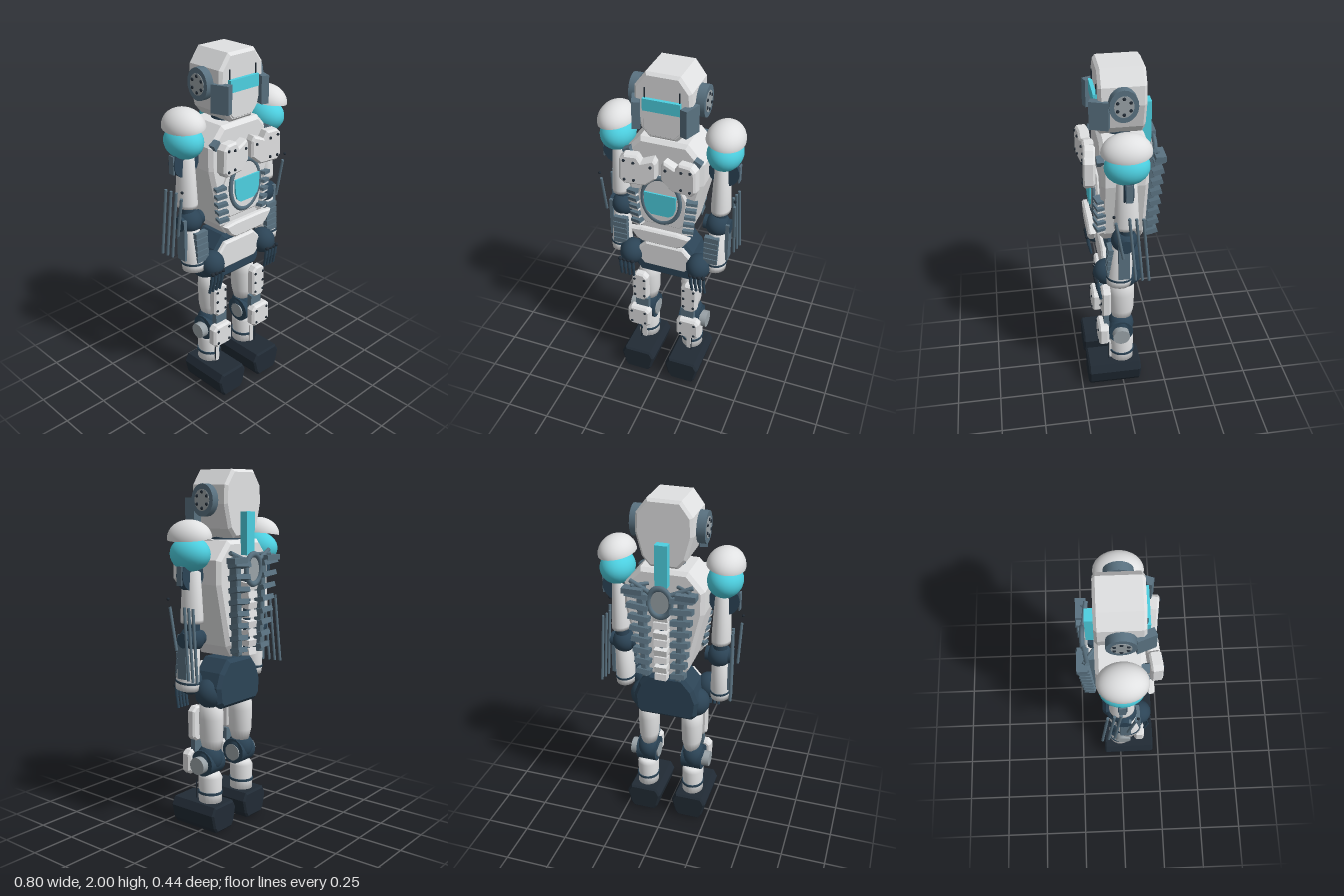
import * as THREE from 'three';

const mat = (name, color) => {
  const m = new THREE.MeshStandardMaterial({ color });
  m.name = name;
  return m;
};

export function createModel() {
  const light = mat('light armour', 0xe0e1e2);
  const grey = mat('grey hub', 0x9aa3a8);
  const slate = mat('slate metal', 0x5a7281);
  const dark = mat('dark joint', 0x2c4456);
  const black = mat('black rubber', 0x212b35);
  const cyan = mat('cyan glow', 0x4dd0e1);
  const root = new THREE.Group();
  root.name = 'robot';

  const add = (name, geo, m, pos = [0, 0, 0], rot = [0, 0, 0], scale = [1, 1, 1]) => {
    const mesh = new THREE.Mesh(geo, m);
    mesh.name = name;
    mesh.position.set(...pos);
    mesh.rotation.set(...rot);
    mesh.scale.set(...scale);
    root.add(mesh);
    return mesh;
  };
  const box = (name, m, size, pos, rot) => add(name, new THREE.BoxGeometry(...size), m, pos, rot);
  const ball = (name, m, radii, pos) => add(name, new THREE.SphereGeometry(1, 24, 16), m, pos, [0, 0, 0], radii);
  const rod = (name, m, r, a, b, sides = 10) => {
    const p = new THREE.Vector3(...a), q = new THREE.Vector3(...b), d = q.clone().sub(p);
    const mesh = add(name, new THREE.CylinderGeometry(r, r, d.length(), sides), m, p.clone().add(q).multiplyScalar(0.5).toArray());
    mesh.quaternion.setFromUnitVectors(new THREE.Vector3(0, 1, 0), d.normalize());
    return mesh;
  };
  // Plate outlined in x/y, extruded from z0 to z1 with chamfered rims
  const prism = (name, m, pts, z0, z1, bevel = 0.01, pos, rot) => {
    const shape = new THREE.Shape(pts.map(([x, y]) => new THREE.Vector2(x, y)));
    const geo = new THREE.ExtrudeGeometry(shape, {
      depth: z1 - z0 - 2 * bevel, bevelEnabled: bevel > 0, bevelThickness: bevel,
      bevelSize: bevel, bevelOffset: -bevel, bevelSegments: 1,
    });
    geo.translate(0, 0, z0 + bevel);
    return add(name, geo, m, pos, rot);
  };
  // Symmetric outline from its right half, listed bottom to top
  const both = (half) => [...half, ...half.map(([x, y]) => [-x, y]).reverse()];
  // Rectangle with cut corners
  const cut = (w, h, c) => both([[w - c, -h], [w, -h + c], [w, h - c], [w - c, h]]);
  const lathe = (name, m, pts, pos, rot, scale) =>
    add(name, new THREE.LatheGeometry(pts.map(([r, y]) => new THREE.Vector2(r, y)), 20), m, pos, rot, scale);

  // Head, visor and neck
  prism('head', light, both([[0.075, 1.64], [0.12, 1.69], [0.155, 1.82], [0.15, 1.92], [0.09, 2]]), -0.125, 0.12, 0.015);
  prism('facePlate', light, both([[0.065, 1.66], [0.1, 1.7], [0.1, 1.8]]), 0.115, 0.125, 0.003);
  box('visor', cyan, [0.2, 0.065, 0.03], [0, 1.835, 0.125]);
  add('neck', new THREE.CylinderGeometry(0.075, 0.085, 0.06, 20), dark, [0, 1.64, 0]);

  // Torso
  prism('torso', light, both([[0.1, 1], [0.14, 1.06], [0.22, 1.4], [0.22, 1.53], [0.13, 1.63]]), -0.13, 0.118, 0.02);
  prism('abdomenPlate', light, both([[0.1, 1.01], [0.135, 1.03], [0.175, 1.09], [0.1, 1.1]]), 0.145, 0.185, 0.01);
  prism('bellyPlate', light, both([[0.1, 1.11], [0.13, 1.15], [0.14, 1.3], [0.09, 1.4]]), 0.11, 0.135, 0.008);

  // Chest reactor
  const disc = new THREE.CylinderGeometry(1, 1, 1, 32);
  add('reactorDisc', disc, light, [0, 1.285, 0.138], [Math.PI / 2, 0, 0], [0.11, 0.03, 0.145]);
  add('reactorRing', new THREE.TorusGeometry(0.1, 0.011, 8, 36), slate, [0, 1.285, 0.147], [0, 0, 0], [1.06, 1.41, 1]);
  prism('reactorWindow', cyan, both([[0.05, 1.2], [0.075, 1.22], [0.088, 1.26], [0.09, 1.335]]), 0.158, 0.167, 0);

  // Pelvis
  prism('pelvis', dark, both([[0.15, 0.71], [0.18, 0.74], [0.19, 0.83], [0.16, 0.91], [0.1, 0.98]]), -0.105, 0.09, 0.02);
  prism('pelvisPlate', light, both([[0.12, 0.79], [0.17, 0.85], [0.165, 0.89], [0.11, 0.95]]), 0.08, 0.115, 0.01);

  // Spine, back ring and antenna block
  box('backBlock', cyan, [0.068, 0.23, 0.045], [0, 1.665, -0.148]);
  add('backRing', new THREE.TorusGeometry(0.062, 0.013, 8, 28), slate, [0, 1.475, -0.19], [0, 0, 0], [1, 1.3, 1]);
  add('backRingDisc', disc, grey, [0, 1.475, -0.18], [Math.PI / 2, 0, 0], [0.055, 0.02, 0.072]);
  for (let i = 0; i < 8; i++) {
    box('vertebra', light, [0.08 - i * 0.002, 0.037, 0.055], [0, 1.385 - i * 0.052, -0.16], [i % 2 ? 0.15 : -0.15, 0, 0]);
  }
  rod('spineRod', dark, 0.02, [0, 1.02, -0.145], [0, 1.45, -0.145]);

  for (const s of [1, -1]) {
    const X = (pts) => pts.map(([x, y]) => [x * s, y]);

    // Ear pods and cheek guards
    add('earPod', new THREE.CylinderGeometry(0.074, 0.074, 0.045, 20), slate, [s * 0.178, 1.84, 0], [0, 0, -s * Math.PI / 2], [1.16, 1, 1]);
    add('earHub', new THREE.CylinderGeometry(0.05, 0.05, 0.006, 20), grey, [s * 0.2, 1.84, 0], [0, 0, Math.PI / 2], [1.14, 1, 1]);
    for (let i = 0; i < 6; i++) {
      const a = (i * Math.PI) / 3;
      ball('earBolt', black, [0.006, 0.009, 0.009], [s * 0.203, 1.84 + 0.042 * Math.cos(a), 0.038 * Math.sin(a)]);
    }
    box('cheekGuard', slate, [0.042, 0.15, 0.1], [s * 0.142, 1.778, 0.115], [0, -s * 0.35, 0]);
    rod('browLine', black, 0.004, [s * 0.092, 1.85, 0.122], [s * 0.092, 1.92, 0.122], 6);

    // Chest plate with bolts
    const pec = new THREE.Group();
    pec.name = 'chestPlateGroup';
    pec.position.set(s * 0.115, 1.48, 0.165);
    pec.rotation.y = -s * 0.13;
    pec.add(prism('chestPlate', light, X([[-0.1, -0.04], [-0.04, -0.09], [0.075, -0.09], [0.1, -0.06],
      [0.095, 0.06], [0.07, 0.085], [0, 0.085], [-0.02, 0.05], [-0.085, 0.075], [-0.1, 0.05]]), -0.028, 0.035, 0.01));
    for (const [x, y] of [[0.07, 0.055], [0.07, -0.06], [0.02, 0.045], [0.02, -0.06], [-0.07, 0.03]]) {
      pec.add(ball('chestBolt', black, [0.008, 0.008, 0.008], [s * x, y, 0.036]));
    }
    root.add(pec);
    box('chestBracket', slate, [0.045, 0.035, 0.04], [s * 0.19, 1.545, 0.12], [0, 0, -s * 0.5]);

    // Front ribs
    for (let i = 0; i < 5; i++) {
      box('rib', slate, [0.06, 0.018, 0.05], [s * (0.165 - i * 0.005), 1.3 - i * 0.047, 0.125], [0, s * 0.3, -s * 0.12]);
      box('ribEdge', light, [0.06, 0.012, 0.045], [s * (0.163 - i * 0.005), 1.285 - i * 0.047, 0.125], [0, s * 0.3, -s * 0.12]);
    }

    // Back cooling fins and struts
    for (let i = 0; i < 8; i++) {
      const w = 0.125 - i * 0.007;
      box('backFin', slate, [w, 0.028, 0.06], [s * (0.06 + w / 2), 1.505 - i * 0.066, -0.19 + i * 0.003], [0.25, 0, s * 0.08]);
    }
    prism('finFrame', slate, X([[0.08, 1.01], [0.11, 1.01], [0.135, 1.54], [0.095, 1.54]]), -0.18, -0.125, 0.005);
    box('finCap', slate, [0.11, 0.03, 0.055], [s * 0.145, 1.53, -0.193]);
    rod('backStrut', slate, 0.012, [s * 0.05, 1.52, -0.185], [s * 0.17, 1.57, -0.165]);
    rod('braceStrut', slate, 0.01, [s * 0.08, 1.55, -0.13], [s * 0.16, 1.55, -0.185]);

    // Shoulder with dome cap
    ball('shoulder', cyan, [0.095, 0.092, 0.117], [s * 0.298, 1.565, 0]);
    const tilt = [0, 0, -s * 0.14];
    add('shoulderCap', new THREE.SphereGeometry(1, 28, 10, 0, Math.PI * 2, 0, Math.PI / 2), light, [s * 0.298, 1.645, 0.003], tilt, [0.102, 0.097, 0.13]);
    add('shoulderCapBase', new THREE.CircleGeometry(1, 28), light, [s * 0.298, 1.645, 0.003], [Math.PI / 2, s * 0.14, 0], [0.102, 0.13, 1]);
    add('armJoint', new THREE.CylinderGeometry(0.083, 0.083, 0.045, 24), dark, [s * 0.3, 1.455, 0], [Math.PI / 2, 0, 0]);
    box('armStrip', slate, [0.008, 0.1, 0.035], [s * 0.381, 1.455, 0]);

    // Upper arm and elbow
    lathe('upperArm', light, [[0, 1.2], [0.053, 1.2], [0.054, 1.22], [0.042, 1.47], [0, 1.49]], [s * 0.288, 0, 0], [0, 0, 0], [1, 1, 1.25]);
    ball('elbow', dark, [0.068, 0.068, 0.07], [s * 0.278, 1.11, 0.01]);
    add('elbowPin', new THREE.CylinderGeometry(0.04, 0.04, 0.15, 16), dark, [s * 0.278, 1.11, 0.01], [0, 0, Math.PI / 2]);
    add('elbowCollar', new THREE.CylinderGeometry(0.04, 0.04, 0.06, 16), dark, [s * 0.284, 1.19, 0]);

    // Forearm with vents, side strip and outer rods
    lathe('forearm', light, [[0, -0.12], [0.056, -0.12], [0.058, -0.09], [0.048, 0.12], [0, 0.12]], [s * 0.285, 0.95, 0.03], [-0.1, 0, 0], [1, 1, 1.2]);
    for (let i = 0; i < 5; i++) box('forearmVent', slate, [0.08, 0.031, 0.03], [s * 0.268, 1.05 - i * 0.035, 0.083 + i * 0.002]);
    box('forearmStrip', slate, [0.02, 0.24, 0.06], [s * 0.342, 1.02, 0.02]);
    add('wristBand', new THREE.CylinderGeometry(0.06, 0.06, 0.012, 20), dark, [s * 0.285, 0.875, 0.037], [-0.1, 0, 0], [1, 1, 1.2]);
    for (let i = 0; i < 3; i++) {
      rod('armRod', slate, 0.008, [s * (0.375 - i * 0.006), 0.9, -0.11 + i * 0.035], [s * (0.365 - i * 0.006), 1.29, -0.075 + i * 0.035], 8);
    }
    rod('frontArmRod', slate, 0.008, [s * 0.378, 1.06, 0.03], [s * 0.382, 1.29, 0.07], 8);
    ball('rodTip', black, [0.008, 0.008, 0.008], [s * 0.385, 1.33, 0.08]);

    // Hand
    ball('palm', dark, [0.07, 0.075, 0.075], [s * 0.2, 0.85, 0.095]);
    for (let i = 0; i < 4; i++) {
      const x = s * (0.175 + i * 0.025);
      rod('finger', dark, 0.01, [x, 0.83, 0.155], [x, 0.765, 0.15]);
      rod('fingertip', dark, 0.008, [x, 0.77, 0.15], [x + s * 0.004, 0.7, 0.135]);
      ball('knuckle', black, [0.012, 0.012, 0.012], [x, 0.825, 0.16]);
    }

    // Hip and thigh
    ball('hip', dark, [0.085, 0.085, 0.085], [s * 0.15, 0.79, -0.01]);
    lathe('thigh', light, [[0, 0.46], [0.045, 0.46], [0.058, 0.52], [0.062, 0.64], [0.057, 0.73], [0, 0.75]], [s * 0.132, 0, 0], [0, 0, 0], [1, 1, 1.2]);
    prism('thighPlate', light, cut(0.048, 0.1, 0.025), 0.07, 0.122, 0.01, [s * 0.152, 0.6, 0]);
    for (const x of [-0.03, 0.03]) for (const y of [-0.06, 0, 0.06]) ball('thighBolt', black, [0.008, 0.008, 0.007], [s * 0.152 + x, 0.6 + y, 0.122]);
    box('kneeSlider', slate, [0.08, 0.09, 0.03], [s * 0.142, 0.465, 0.095]);

    // Knee
    add('knee', new THREE.CylinderGeometry(0.075, 0.075, 0.12, 20), dark, [s * 0.14, 0.385, 0.015], [0, 0, Math.PI / 2]);
    ball('kneeJoint', dark, [0.068, 0.08, 0.075], [s * 0.14, 0.41, 0.005]);
    add('kneeDisc', new THREE.CylinderGeometry(0.045, 0.05, 0.17, 16), grey, [s * 0.157, 0.38, 0.015], [0, 0, Math.PI / 2]);
    prism('kneePlate', light, cut(0.07, 0.07, 0.022), 0.085, 0.145, 0.012, [s * 0.155, 0.378, 0]);
    for (const x of [-0.042, 0.042]) for (const y of [-0.04, 0.04]) ball('kneeBolt', black, [0.008, 0.008, 0.007], [s * 0.155 + x, 0.378 + y, 0.145]);

    // Shin
    lathe('shin', light, [[0, 0.13], [0.064, 0.13], [0.06, 0.2], [0.064, 0.3], [0.05, 0.325], [0, 0.325]], [s * 0.142, 0, 0], [0, 0, 0], [1, 1, 1.1]);
    add('shinBand', new THREE.CylinderGeometry(0.066, 0.066, 0.014, 20), dark, [s * 0.142, 0.21, 0], [0, 0, 0], [1, 1, 1.1]);
    box('shinBar', light, [0.026, 0.12, 0.025], [s * 0.145, 0.21, 0.064]);
    rod('shinRod', black, 0.003, [s * 0.165, 0.15, 0.085], [s * 0.165, 0.27, 0.085], 6);

    // Foot
    prism('foot', black, both([[0.065, 0], [0.085, 0.03], [0.104, 0.11], [0.08, 0.155]]), -0.105, 0.21, 0.01, [s * 0.142, 0, 0]);
  }
  return root;
}
